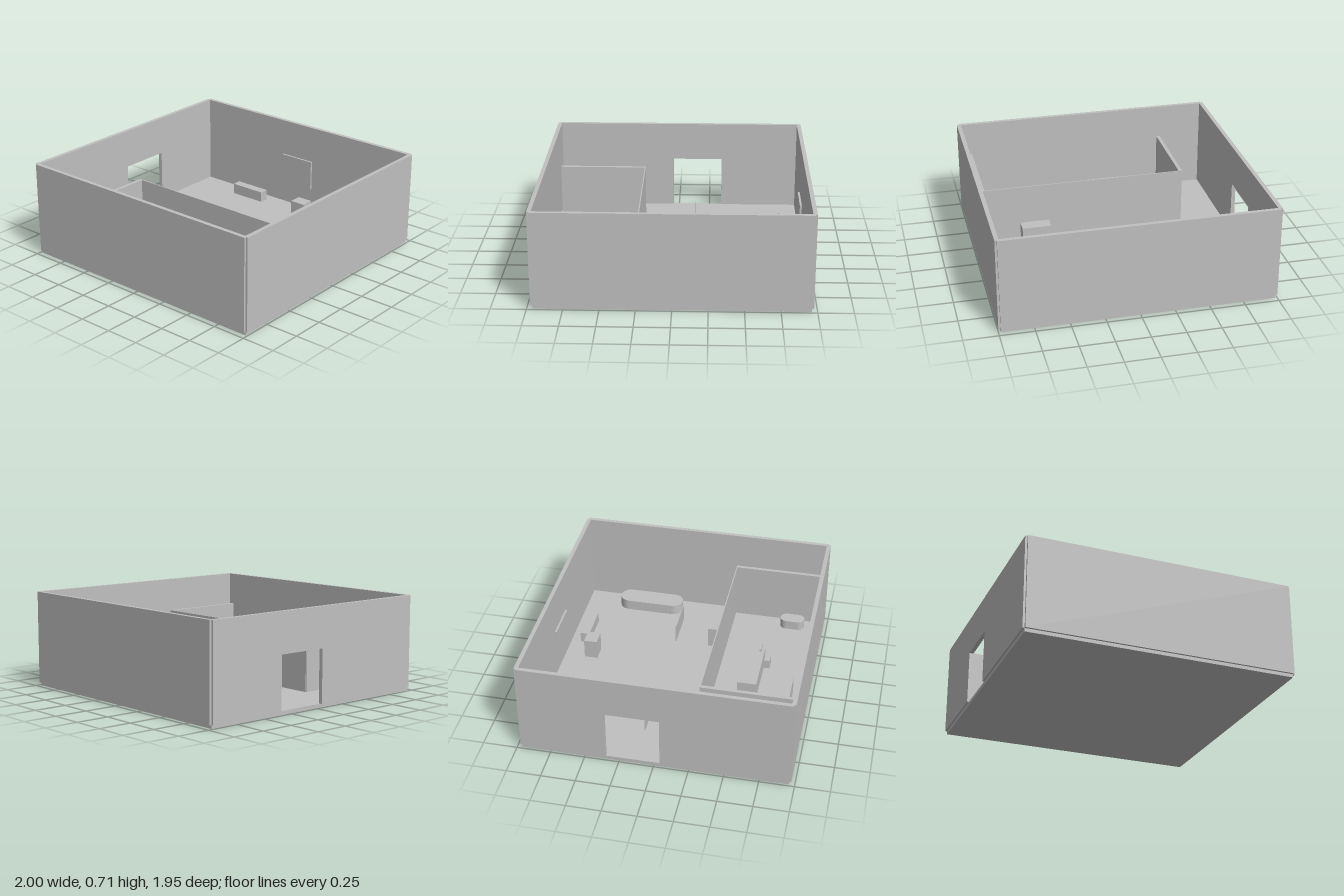
import * as THREE from 'three';

export function createModel() {
  const model = new THREE.Group();
  model.name = 'walledRoom';
  const grey = new THREE.MeshStandardMaterial({ color: 0xc0c0c0 });
  grey.name = 'plain grey';

  const FLOOR = 0.028, BASE = 0.025, TOP = 0.715;

  const add = (name, geometry) => {
    const mesh = new THREE.Mesh(geometry, grey);
    mesh.name = name;
    model.add(mesh);
    return mesh;
  };

  // Box given by its limits on each axis
  const box = (name, x0, x1, y0, y1, z0, z1) =>
    add(name, new THREE.BoxGeometry(x1 - x0, y1 - y0, z1 - z0)
      .translate((x0 + x1) / 2, (y0 + y1) / 2, (z0 + z1) / 2));

  // Upright block with a rounded-end plan, long along z
  const capsule = (name, x0, x1, y0, y1, z0, z1) => {
    const r = (x1 - x0) / 2, cx = (x0 + x1) / 2;
    const plan = new THREE.Shape();
    plan.absarc(cx, -z0 - r, r, 0, Math.PI);
    plan.absarc(cx, -z1 + r, r, Math.PI, Math.PI * 2);
    plan.closePath();
    const g = new THREE.ExtrudeGeometry(plan, { depth: y1 - y0, bevelEnabled: false, curveSegments: 16 });
    return add(name, g.rotateX(-Math.PI / 2).translate(0, y0, 0));
  };

  // Floor slab, set in from the outer wall faces
  box('floor', -0.985, 0.985, 0, FLOOR, -0.96, 0.96);

  // Outer walls, leaving a small notch at each corner
  box('frontWall', -0.985, 0.985, BASE, TOP, 0.945, 0.975);
  box('backWall', -0.985, 0.985, BASE, TOP, -0.975, -0.945);
  box('leftWall', 0.97, 1, BASE, TOP, -0.96, 0.96);

  // Right wall with a doorway, drawn in the z-y plane
  const doorWall = new THREE.Shape([
    [-0.96, BASE], [-0.045, BASE], [-0.045, 0.42], [0.345, 0.42],
    [0.345, BASE], [0.96, BASE], [0.96, TOP], [-0.96, TOP],
  ].map(([u, v]) => new THREE.Vector2(u, v)));
  add('rightWallWithDoorway', new THREE.ExtrudeGeometry(doorWall, { depth: 0.03, bevelEnabled: false })
    .rotateY(Math.PI / 2).translate(-1, 0, 0));

  // Inner room partitions
  box('partitionBack', -0.63, 0.92, FLOOR, 0.47, 0.254, 0.262);
  box('partitionRight', -0.635, -0.608, FLOOR, 0.47, 0.262, 0.92);
  box('partitionLeft', 0.897, 0.924, FLOOR, 0.47, 0.262, 0.92);

  // Main room furniture
  box('lowCabinetRight', -0.59, -0.3, FLOOR, 0.11, -0.87, -0.8);
  box('lowCabinetLeft', 0.27, 0.56, FLOOR, 0.11, -0.87, -0.8);
  box('wallPanel', -0.18, 0.105, 0.21, 0.44, -0.93, -0.915);
  box('pedestal', 0.09, 0.21, FLOOR, 0.18, -0.79, -0.69);
  box('counter', 0.42, 0.64, FLOOR, 0.19, 0.12, 0.22);
  capsule('roundedBench', 0.77, 0.93, FLOOR, 0.11, -0.68, -0.17);

  // Thin upright screens
  box('screenRight', -0.66, -0.37, FLOOR, 0.17, -0.141, -0.135);
  box('screenLeft', 0.425, 0.72, FLOOR, 0.17, -0.141, -0.135);

  // Inner room furniture
  box('desk', -0.17, 0.285, FLOOR, 0.18, 0.45, 0.592);
  box('seat', 0.23, 0.31, FLOOR, 0.1, 0.555, 0.635);
  box('seatBack', 0.23, 0.31, 0.1, 0.2, 0.555, 0.567);
  box('sideboard', -0.27, -0.015, FLOOR, 0.175, 0.74, 0.852);
  capsule('roundedStool', 0.765, 0.87, FLOOR, 0.1, 0.635, 0.825);

  return model;
}
